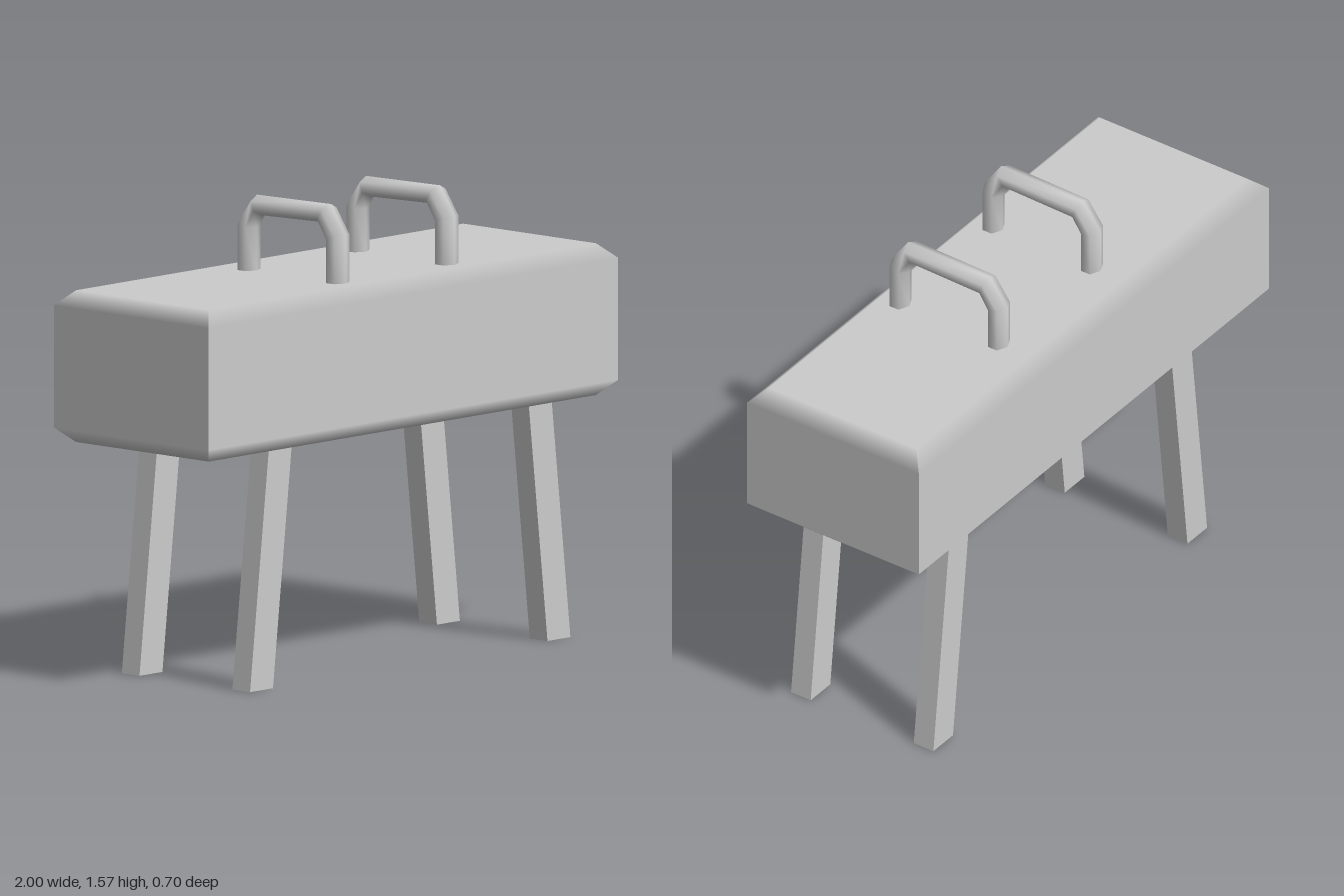
import * as THREE from 'three';

const grey = new THREE.MeshStandardMaterial({ color: 0xcccccc });

function addMesh(parent, name, geometry) {
  const mesh = new THREE.Mesh(geometry, grey);
  mesh.name = name;
  parent.add(mesh);
  return mesh;
}

// Long padded block: a box whose top and bottom rows are drawn in to form soft chamfers
function bodyGeometry() {
  const g = new THREE.BoxGeometry(2, 3, 0.7, 1, 3, 1);
  const p = g.attributes.position, n = g.attributes.normal;
  const rows = [0.8, 0.85, 1.26, 1.31];
  for (let i = 0; i < p.count; i++) {
    const row = Math.round(p.getY(i) + 1.5);
    p.setY(i, rows[row]);
    if (row === 0 || row === 3) {
      p.setX(i, Math.sign(p.getX(i)) * 0.945);
      p.setZ(i, Math.sign(p.getZ(i)) * 0.3);
      n.setXYZ(i, 0, row ? 1 : -1, 0); // shading rolls over the edge
    }
  }
  return g;
}

// Splayed leg: a box in two sections, sheared outward towards the floor
function legGeometry(topX, bottomX) {
  const top = 0.81, joint = 0.42;
  const g = new THREE.BoxGeometry(0.112, 2, 0.08, 1, 2, 1);
  const p = g.attributes.position;
  for (let i = 0; i < p.count; i++) {
    const y = [0, joint, top][Math.round(p.getY(i) + 1)];
    p.setX(i, p.getX(i) + bottomX + (topX - bottomX) * y / top);
    p.setY(i, y);
  }
  g.computeVertexNormals();
  return g;
}

// Grip: six-sided bar swept along a mitred arch, given as outer and inner [z, y] corners
function handleGeometry() {
  const outer = [[0.262, 1.3], [0.262, 1.475], [0.195, 1.57], [-0.14, 1.565], [-0.21, 1.47], [-0.21, 1.3]];
  const inner = [[0.19, 1.3], [0.19, 1.45], [0.155, 1.505], [-0.115, 1.498], [-0.14, 1.455], [-0.14, 1.3]];
  const sides = 6, halfWidth = 0.0375, pos = [], idx = [];
  outer.forEach(([oz, oy], k) => {
    const [iz, iy] = inner[k];
    for (let s = 0; s < sides; s++) {
      const a = s * Math.PI * 2 / sides, c = Math.cos(a) / 2;
      pos.push(Math.sin(a) / Math.sin(Math.PI / 3) * halfWidth,
        (oy + iy) / 2 + (oy - iy) * c, (oz + iz) / 2 + (oz - iz) * c);
    }
  });
  for (let k = 0; k < outer.length - 1; k++) {
    for (let s = 0; s < sides; s++) {
      const a = k * sides + s, b = k * sides + (s + 1) % sides;
      idx.push(a, a + sides, b, b, a + sides, b + sides);
    }
  }
  const g = new THREE.BufferGeometry();
  g.setAttribute('position', new THREE.Float32BufferAttribute(pos, 3));
  // Wind the faces so that they look outward
  const v = i => new THREE.Vector3().fromArray(pos, i * 3);
  const normal = v(idx[1]).sub(v(idx[0])).cross(v(idx[2]).sub(v(idx[0])));
  if (normal.z < 0) idx.reverse();
  g.setIndex(idx);
  g.computeVertexNormals();
  return g;
}

export function createModel() {
  const model = new THREE.Group();
  model.name = 'pommelHorse';

  addMesh(model, 'body', bodyGeometry());

  // Four legs, splayed along the length
  for (const [side, topX, bottomX] of [['right', -0.59, -0.682], ['left', 0.678, 0.77]]) {
    for (const [end, z] of [['front', 0.255], ['back', -0.245]]) {
      addMesh(model, `${end}Leg_${side}`, legGeometry(topX, bottomX)).position.z = z;
    }
  }

  // Two grips across the top
  for (const [side, x] of [['right', -0.235], ['left', 0.297]]) {
    addMesh(model, `handle_${side}`, handleGeometry()).position.x = x;
  }
  return model;
}
